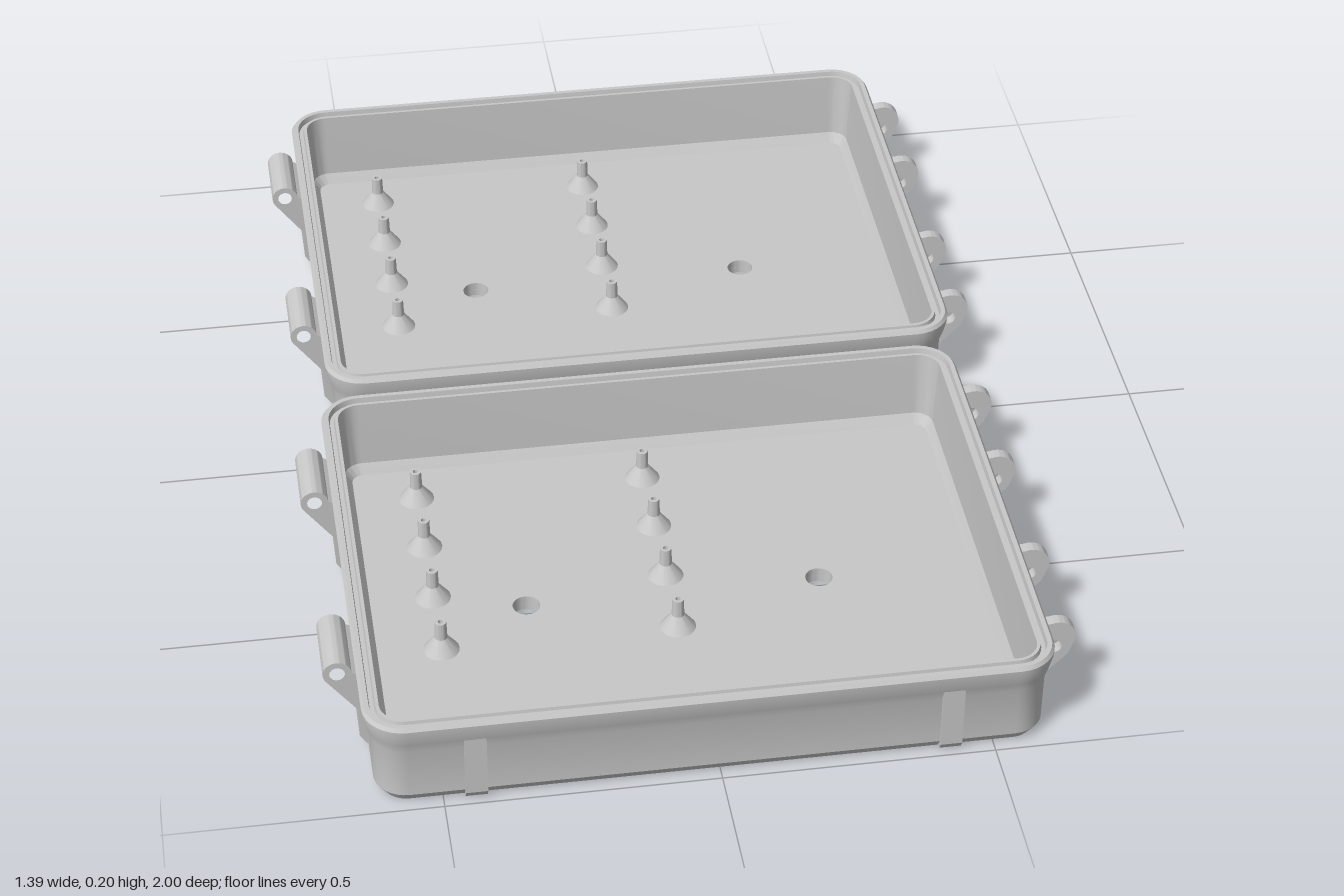
import * as THREE from 'three';
import { toCreasedNormals } from 'three/addons/utils/BufferGeometryUtils.js';

const HALF_W = 0.624, HALF_D = 0.49, CORNER = 0.075;
const grey = new THREE.MeshStandardMaterial({ color: 0xc8c8c8 });
grey.name = 'grey plastic';

function part(name, geometry) {
  const mesh = new THREE.Mesh(toCreasedNormals(geometry, 0.5), grey);
  mesh.name = name;
  return mesh;
}

// Rounded rectangle, inset from the rim outline
function outline(inset, steps = 8) {
  const r = Math.max(CORNER - inset, 0.015), pts = [];
  const cx = HALF_W - inset - r, cz = HALF_D - inset - r;
  [[1, 1], [-1, 1], [-1, -1], [1, -1]].forEach(([sx, sz], q) => {
    for (let i = 0; i <= steps; i++) {
      const a = (q + i / steps) * Math.PI / 2;
      pts.push(new THREE.Vector2(sx * cx + r * Math.cos(a), sz * cz + r * Math.sin(a)));
    }
  });
  return pts;
}

// Wall swept around the tray: [inset, height] from outer bottom, over the rim, to the floor
function wallGeometry() {
  const profile = [
    [0.030, 0], [0.015, 0.022], [0.014, 0.125], [0.007, 0.146], [0.001, 0.17], [0, 0.183],
    [0.005, 0.19], [0.014, 0.19], [0.016, 0.178], [0.024, 0.178], [0.026, 0.187], [0.032, 0.187],
    [0.040, 0.05], [0.053, 0.03],
  ];
  const loops = profile.map(([d, y]) => outline(d).map(p => [p.x, y, p.y]));
  const n = loops[0].length, pos = [];
  for (let j = 0; j < loops.length - 1; j++) {
    for (let i = 0; i < n; i++) {
      const k = (i + 1) % n;
      const a = loops[j][i], b = loops[j + 1][i], c = loops[j + 1][k], d = loops[j][k];
      pos.push(...a, ...b, ...c, ...a, ...c, ...d);
    }
  }
  const g = new THREE.BufferGeometry();
  g.setAttribute('position', new THREE.Float32BufferAttribute(pos, 3));
  return g;
}

function circleHole(x, y, r) {
  const path = new THREE.Path();
  path.absarc(x, y, r, 0, Math.PI * 2, true);
  return path;
}

// Horizontal plate with round holes [x, z, r]
function plateGeometry(inset, y, height, holes) {
  const shape = new THREE.Shape(outline(inset));
  holes.forEach(([x, z, r]) => shape.holes.push(circleHole(x, z, r)));
  return new THREE.ExtrudeGeometry(shape, { depth: height, bevelEnabled: false, curveSegments: 12 })
    .rotateX(-Math.PI / 2).translate(0, y, 0);
}

// Side profile extruded and centred on its thickness
function slab(shape, thickness) {
  return new THREE.ExtrudeGeometry(shape, { depth: thickness, bevelEnabled: false, curveSegments: 12 })
    .translate(0, 0, -thickness / 2);
}

// Knuckle with a pin bore on a sloping bracket
function knuckleGeometry() {
  const s = new THREE.Shape();
  s.moveTo(-0.60, 0.008);
  s.lineTo(-0.61, 0.008);
  s.lineTo(-0.623, 0.028);
  s.lineTo(-0.623, 0.09);
  s.absarc(-0.657, 0.179, 0.026, Math.PI * 1.22, 0, true);
  s.lineTo(-0.605, 0.165);
  s.closePath();
  s.holes.push(circleHole(-0.657, 0.179, 0.014));
  return slab(s, 0.135);
}

// Thin teardrop lug with a pin hole
function lugGeometry() {
  const s = new THREE.Shape();
  s.moveTo(0.595, 0.004);
  s.lineTo(0.615, 0.004);
  s.lineTo(0.626, 0.02);
  s.lineTo(0.629, 0.06);
  s.lineTo(0.668, 0.1);
  s.absarc(0.645, 0.14, 0.036, -0.5, Math.PI * 0.6, false);
  s.lineTo(0.605, 0.172);
  s.closePath();
  s.holes.push(circleHole(0.642, 0.12, 0.014));
  return slab(s, 0.022);
}

// Upright rib that runs out into the flare of the wall, turned to face +z
function ribGeometry() {
  const s = new THREE.Shape([
    [0.46, 0.004], [0.473, 0.004], [0.483, 0.02], [0.483, 0.146], [0.46, 0.146],
  ].map(([x, y]) => new THREE.Vector2(x, y)));
  return slab(s, 0.04).rotateY(-Math.PI / 2);
}

function pegGeometry() {
  const pts = [[0.034, 0], [0.012, 0.03], [0.011, 0.066], [0.005, 0.066], [0.005, 0.05], [0, 0.05]];
  return new THREE.LatheGeometry(pts.map(([x, y]) => new THREE.Vector2(x, y)), 20);
}

function createTray() {
  const tray = new THREE.Group();
  tray.name = 'tray';
  tray.add(part('wall', wallGeometry()));

  // Floor in two layers, so the corner recesses stay blind from above
  const through = [[-0.281, 0, 0.026], [0.277, 0, 0.026]];
  const recesses = [];
  for (const x of [-0.435, 0.435]) for (const z of [-0.333, 0.333]) recesses.push([x, z, 0.034]);
  tray.add(part('floor', plateGeometry(0.053, 0.016, 0.014, through)));
  tray.add(part('underside', plateGeometry(0.030, 0, 0.016, [...through, ...recesses])));

  // Two rows of standing pegs
  for (const x of [-0.452, -0.009]) {
    for (let i = 0; i < 4; i++) {
      const peg = part('peg', pegGeometry());
      peg.position.set(x, 0.03, -0.35 + i * 0.15);
      tray.add(peg);
    }
  }

  for (const side of [-1, 1]) {
    const knuckle = part('hingeKnuckle', knuckleGeometry());
    knuckle.position.z = side * 0.245;
    tray.add(knuckle);

    for (const z of [0.141, 0.35]) {
      const lug = part('latchLug', lugGeometry());
      lug.position.z = side * z;
      tray.add(lug);
    }

    // Ribs on the front and back walls
    for (const x of [-0.43, 0.43]) {
      const rib = part('rib', ribGeometry());
      rib.position.x = x;
      if (side < 0) rib.rotation.y = Math.PI;
      tray.add(rib);
    }
  }
  return tray;
}

export function createModel() {
  const model = new THREE.Group();
  model.name = 'hingedCaseHalves';
  for (const side of [-1, 1]) {
    const tray = createTray();
    tray.name = side > 0 ? 'frontTray' : 'backTray';
    tray.position.set(-0.011 * side, 0, 0.51 * side);
    model.add(tray);
  }
  return model;
}
